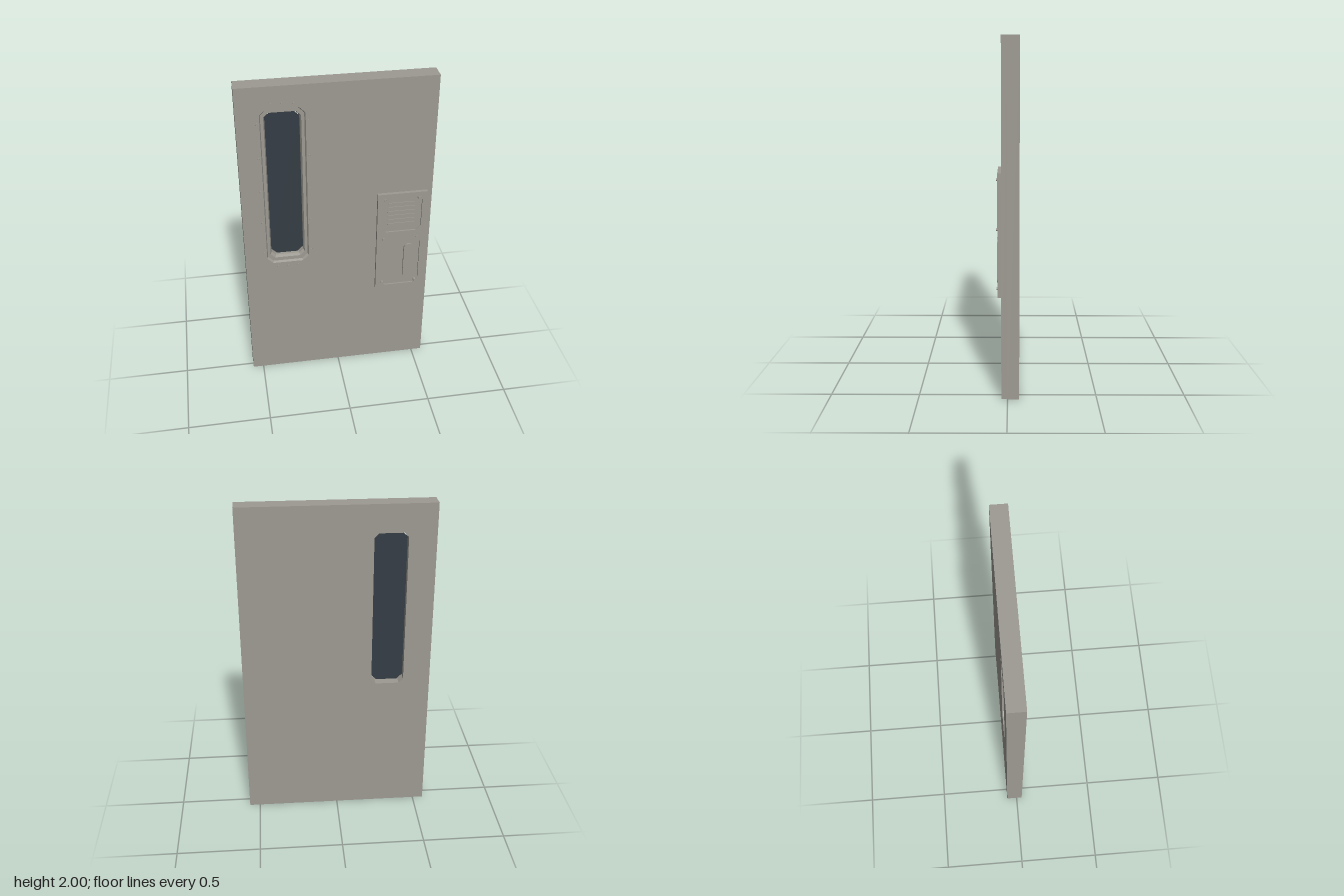
import * as THREE from 'three';

const metal = new THREE.MeshStandardMaterial({ color: 0x9d9a92 });
const glassMat = new THREE.MeshStandardMaterial({ color: 0x343c44 });

// Corner points of a rectangle with cut corners, counter-clockwise
function cutRect(cx, cy, hw, hh, c) {
  return [
    [hw - c, -hh], [hw, -hh + c], [hw, hh - c], [hw - c, hh],
    [-hw + c, hh], [-hw, hh - c], [-hw, -hh + c], [-hw + c, -hh],
  ].map(([x, y]) => new THREE.Vector2(cx + x, cy + y));
}

// Rounded-end bar outline
function pill(cx, cy, hw, hh) {
  const r = Math.min(hw, hh), dx = hw - r, dy = hh - r, s = new THREE.Shape();
  if (dy > 0) {
    s.absarc(cx, cy + dy, r, 0, Math.PI);
    s.absarc(cx, cy - dy, r, Math.PI, 2 * Math.PI);
  } else {
    s.absarc(cx + dx, cy, r, -Math.PI / 2, Math.PI / 2);
    s.absarc(cx - dx, cy, r, Math.PI / 2, 1.5 * Math.PI);
  }
  s.closePath();
  return s;
}

function slab(shape, z0, z1, holes = []) {
  holes.forEach((h) => shape.holes.push(new THREE.Path(h)));
  const g = new THREE.ExtrudeGeometry(shape, { depth: z1 - z0, bevelEnabled: false, curveSegments: 10 });
  return g.translate(0, 0, z0);
}

// Skin between successive outlines going inward from front to back
function loft(rings) {
  const pos = [];
  for (let k = 0; k < rings.length - 1; k++) {
    const [a, b] = [rings[k], rings[k + 1]];
    for (let i = 0; i < a.pts.length; i++) {
      const j = (i + 1) % a.pts.length;
      const v = (r, n) => [r.pts[n].x, r.pts[n].y, r.z];
      pos.push(...v(a, i), ...v(a, j), ...v(b, j), ...v(a, i), ...v(b, j), ...v(b, i));
    }
  }
  const g = new THREE.BufferGeometry();
  g.setAttribute('position', new THREE.Float32BufferAttribute(pos, 3));
  g.computeVertexNormals();
  return g;
}

export function createModel() {
  const root = new THREE.Group();
  root.name = 'door';
  const add = (name, geometry, material = metal, parent = root) => {
    const m = new THREE.Mesh(geometry, material);
    m.name = name;
    parent.add(m);
    return m;
  };
  const group = (name) => {
    const g = new THREE.Group();
    g.name = name;
    root.add(g);
    return g;
  };
  const stud = (name, x, y, z, r, h, parent) => {
    const m = add(name, new THREE.CylinderGeometry(r * 0.85, r, h, 12), metal, parent);
    m.rotation.x = Math.PI / 2;
    m.position.set(x, y, z + h / 2);
  };

  // Door leaf: back layer with the narrow opening, front layer with the wide one
  const wx = -0.307, wy = 1.353;
  const inner = cutRect(wx, wy, 0.097, 0.479, 0.026);
  const outer = cutRect(wx, wy, 0.127, 0.515, 0.036);
  const leaf = () => new THREE.Shape(cutRect(0, 1, 0.565, 1, 0));
  add('leafBack', slab(leaf(), -0.065, 0, [inner]));
  add('leafFront', slab(leaf(), 0, 0.035, [outer]));

  // Stepped, bevelled window surround
  add('windowSurround', loft([
    { pts: outer, z: 0.035 },
    { pts: cutRect(wx, wy, 0.121, 0.509, 0.034), z: 0.02 },
    { pts: cutRect(wx, wy, 0.104, 0.486, 0.028), z: 0.02 },
    { pts: inner, z: 0 },
  ]));

  // Glass pane, corners cut a little deeper than the opening
  add('glass', slab(new THREE.Shape(cutRect(wx, wy, 0.097, 0.474, 0.034)), -0.02, -0.012), glassMat);

  // Rivets around the window
  const rivets = group('windowRivets');
  for (const side of [-1, 1]) {
    for (let i = 0; i < 5; i++) stud('rivet', wx + side * 0.142, 1.782 - i * 0.216, 0.035, 0.006, 0.004, rivets);
    for (let i = -1; i <= 1; i++) stud('rivet', wx + i * 0.061, wy + side * 0.542, 0.035, 0.006, 0.004, rivets);
  }

  // Lock panel with two cut-corner recesses
  const panel = group('lockPanel');
  const px = 0.385, py = 0.925, floor = 0.046, face = 0.056;
  const outline = () => new THREE.Shape(cutRect(px, py, 0.151, 0.346, 0));
  add('panelBase', slab(outline(), 0.035, floor), metal, panel);
  add('panelFace', slab(outline(), floor, face, [
    cutRect(0.382, 1.125, 0.122, 0.124, 0.03),
    cutRect(0.382, 0.772, 0.122, 0.173, 0.03),
  ]), metal, panel);

  // Vent slats in the upper recess
  for (let i = 0; i < 6; i++) {
    add('ventSlat', slab(pill(0.382, 1.197 - i * 0.029, 0.085, 0.008), floor, floor + 0.005), metal, panel);
  }

  // Upright handle in the lower recess
  add('handle', slab(pill(0.436, 0.77, 0.03, 0.13), floor, 0.059), metal, panel);

  // Screws in the recess corners
  for (const x of [0.278, 0.486]) {
    for (const y of [1.23, 0.953, 0.618]) stud('screw', x, y, floor, 0.01, 0.017, panel);
  }

  return root;
}
